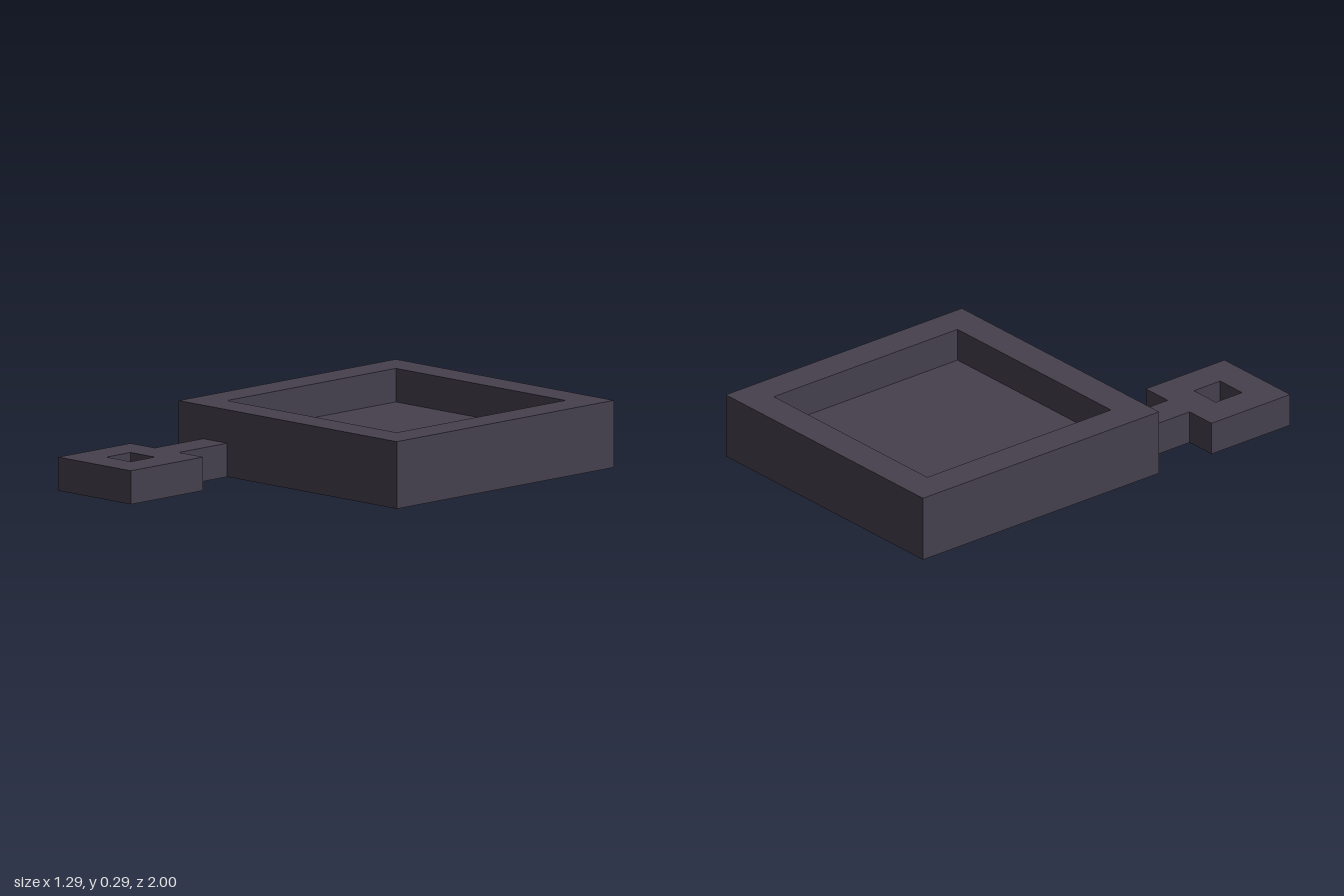
import * as THREE from 'three';

const U = 1 / 7; // grid unit: the model is 9 wide, 14 long and 2 high

// Extrudes a floor-plan outline, given in [x, z] units, upward from y = 0
function slab(name, outline, hole, height, material) {
  const toPoints = (list) => list.map(([x, z]) => new THREE.Vector2(x * U, -z * U));
  const shape = new THREE.Shape(toPoints(outline));
  if (hole) shape.holes.push(new THREE.Path(toPoints(hole)));
  const geometry = new THREE.ExtrudeGeometry(shape, { depth: height * U, bevelEnabled: false });
  geometry.rotateX(-Math.PI / 2);
  const mesh = new THREE.Mesh(geometry, material);
  mesh.name = name;
  return mesh;
}

const rect = (x0, x1, z0, z1) => [[x0, z0], [x0, z1], [x1, z1], [x1, z0]];

export function createModel() {
  const iron = new THREE.MeshStandardMaterial({ color: 0x45404d });
  iron.name = 'dark iron';

  const model = new THREE.Group();
  model.name = 'squarePan';

  // Pan: tall square wall around a half-height floor
  const well = rect(-3.5, 3.5, -6, 1);
  model.add(slab('panWall', rect(-4.5, 4.5, -7, 2), well, 2, iron));
  model.add(slab('panFloor', well, null, 1, iron));

  // Handle: narrow neck widening into a square ring with a hanging hole
  const handle = [
    [-3.5, 2], [-3.5, 4], [-4.5, 4], [-4.5, 7],
    [-1.5, 7], [-1.5, 4], [-2.5, 4], [-2.5, 2],
  ];
  model.add(slab('handle', handle, rect(-3.5, -2.5, 5, 6), 1, iron));

  return model;
}
